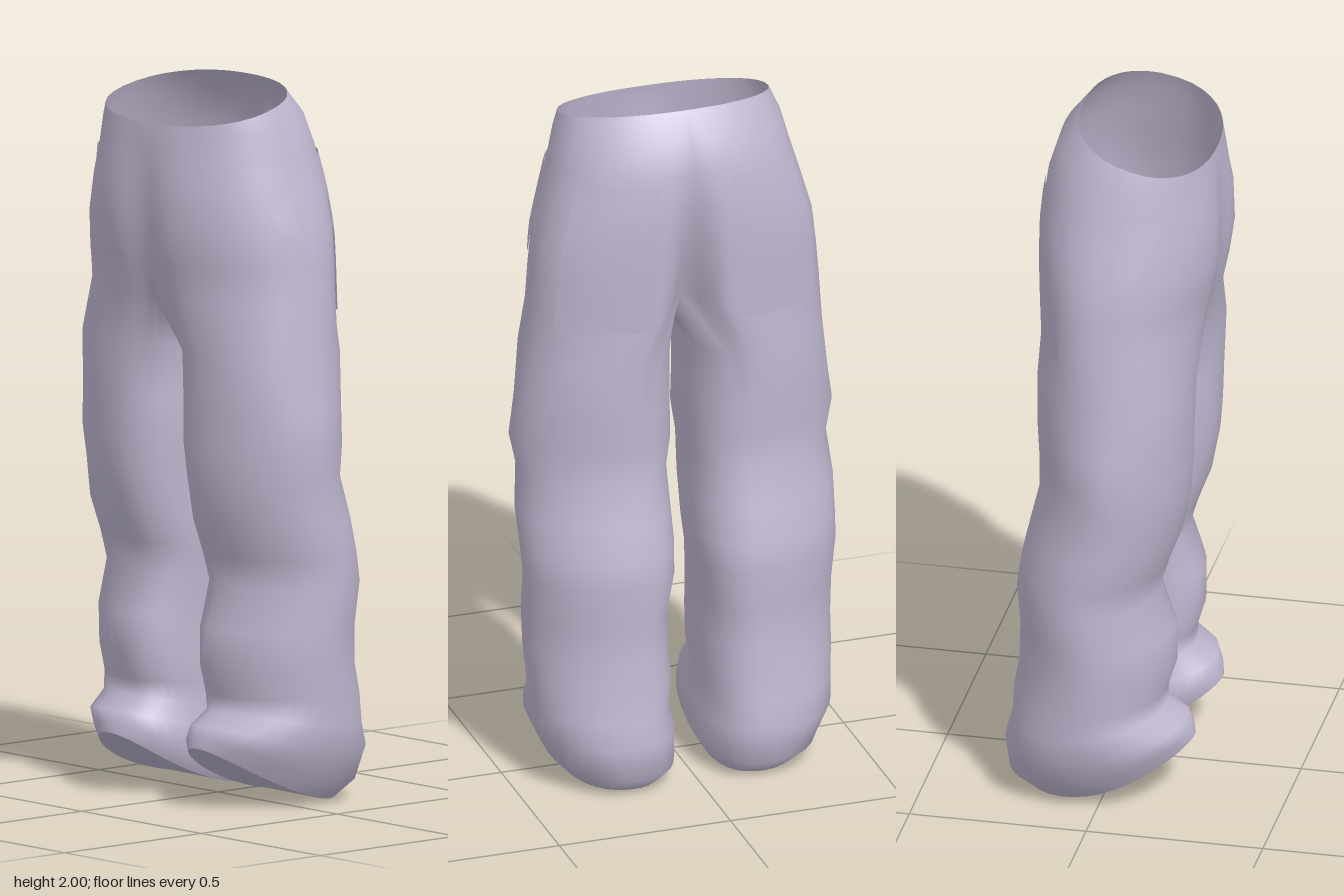
import * as THREE from 'three';
import { mergeVertices } from 'three/addons/utils/BufferGeometryUtils.js';

const OUT = 24, INN = 10; // segments on the outer and inner arc of a leg
const CREASE = 0.19;      // x of the front and back crease of a leg
const { lerp, degToRad } = THREE.MathUtils;
const spow = (v, p) => Math.sign(v) * Math.abs(v) ** p;

// Leg levels: back y, front y, inner x, outer x, front z, back z,
// squareness of the outer front and outer back corner (smaller is squarer)
const LEG = [
  [0.00, 0.17, 0.065, 0.35, 0.24, -0.22, 1.1, 1.0],
  [0.05, 0.20, 0.035, 0.39, 0.235, -0.278, 1.0, 0.95],
  [0.15, 0.23, 0.038, 0.43, 0.22, -0.287, 0.94, 0.86],
  [0.22, 0.27, 0.055, 0.43, 0.163, -0.267, 0.97, 0.9],
  [0.31, 0.31, 0.045, 0.437, 0.163, -0.263, 1.04, 1.0],
  [0.39, 0.39, 0.05, 0.442, 0.187, -0.25, 1.1, 1.05],
  [0.50, 0.50, 0.052, 0.446, 0.187, -0.247, 1.1, 1.05],
  [0.62, 0.62, 0.035, 0.45, 0.142, -0.256, 1.03, 1.05],
  [0.70, 0.70, 0.03, 0.453, 0.165, -0.245, 1.03, 1.05],
  [0.80, 0.80, 0.032, 0.457, 0.203, -0.222, 1.03, 1.05],
  [0.92, 0.92, 0.036, 0.446, 0.226, -0.193, 1.06, 1.08],
  [1.01, 1.01, 0.022, 0.466, 0.232, -0.193, 1.08, 1.12],
  [1.12, 1.12, 0.026, 0.45, 0.235, -0.2, 1.02, 1.12],
  [1.27, 1.27, 0.026, 0.433, 0.24, -0.2, 0.92, 1.06],
];
// Hip levels: back y, front y, outer x, front z, back z, side z, front dip, back dip
const HIP = [
  [1.42, 1.42, 0.418, 0.258, -0.207, 0.00, 0.022, 0.14],
  [1.52, 1.52, 0.409, 0.28, -0.212, 0.00, 0.022, 0.10],
  [1.62, 1.62, 0.397, 0.296, -0.215, 0.00, 0.024, 0.065],
  [1.73, 1.73, 0.367, 0.294, -0.215, 0.015, 0.018, 0.035],
  [1.84, 1.81, 0.34, 0.28, -0.2, 0.04, 0.008, 0.008],
  [1.93, 1.87, 0.322, 0.27, -0.17, 0.06, 0, 0],
  [2.00, 1.905, 0.30, 0.264, -0.115, 0.085, 0, 0],
];

function legPoint([yb, yf, xi, xo, zf, zb, pf, pb], deg) {
  const a = degToRad(deg), s = Math.sin(a), c = Math.cos(a);
  const p = s < 0 ? 0.82 : lerp(pb, pf, (c + 1) / 2);
  const x = CREASE + (s > 0 ? xo - CREASE : CREASE - xi) * spow(s, p);
  const z = (zf + zb) / 2 + (zf - zb) / 2 * spow(c, p);
  const t = (z - zb) / (zf - zb);
  return [x, lerp(yb, yf, t * t), z];
}

function hipPoint([yb, yf, xo, zf, zb, zm, df, db], deg) {
  const a = degToRad(deg), c = Math.cos(a), s = Math.sin(a);
  const x = s < 1e-6 ? 0 : xo * s ** 0.88;
  const z = c > 0 ? zm + (zf - zm) * c ** 0.92 - df * c * Math.exp(-((x / 0.07) ** 2))
                  : zm + (zb - zm) * (-c) ** 0.92 - db * c * Math.exp(-((x / 0.05) ** 2));
  const t = THREE.MathUtils.clamp((z - zb) / (zf - zb), 0, 1);
  return [x, lerp(yb, yf, t), z];
}

// Point on the hips at a free height, pushed slightly outwards
function hipAt(y, deg, push) {
  let i = 0;
  while (i < HIP.length - 2 && HIP[i + 1][0] < y) i++;
  const t = (y - HIP[i][0]) / (HIP[i + 1][0] - HIP[i][0]);
  const p = hipPoint(HIP[i].map((v, k) => lerp(v, HIP[i + 1][k], t)), deg);
  const a = degToRad(deg);
  return [p[0] + push * Math.sin(a), p[1], p[2] + push * Math.cos(a)];
}

// Triangles between successive rings of n points
function skin(rings, closed, offset = 0) {
  const n = rings[0].length, idx = [];
  for (let r = 0; r < rings.length - 1; r++) {
    for (let i = 0; i < (closed ? n : n - 1); i++) {
      const a = offset + r * n + i, b = offset + r * n + (i + 1) % n;
      idx.push(a, b, b + n, a, b + n, a + n);
    }
  }
  return idx;
}

// Reflects points and triangles to the other side
const flip = points => points.map(([x, y, z]) => [-x, y, z]);
const turn = idx => idx.map((_, i) => idx[i % 3 === 0 ? i + 1 : i % 3 === 1 ? i - 1 : i]);

function build(points, idx) {
  const g = new THREE.BufferGeometry();
  g.setAttribute('position', new THREE.Float32BufferAttribute(points.flat(), 3));
  g.setIndex(idx);
  const m = mergeVertices(g, 1e-5);
  m.computeVertexNormals();
  return m;
}

export function createModel() {
  const group = new THREE.Group();
  const cloth = new THREE.MeshStandardMaterial({ color: 0xc0b7d0, side: THREE.DoubleSide });
  cloth.name = 'lavender cloth';
  const add = (name, points, idx) => {
    const m = new THREE.Mesh(build(points, idx), cloth);
    m.name = name;
    group.add(m);
  };

  // Half hip rings, with points gathered near the centre seams
  const hipRings = HIP.map(l => Array.from({ length: OUT + 1 }, (_, i) => {
    const u = i / OUT;
    return hipPoint(l, 180 * (u - 0.55 * Math.sin(2 * Math.PI * u) / (2 * Math.PI)));
  }));

  // Leg rings: outer arc runs front to back, inner arc returns to the front
  const legRings = LEG.map(l => {
    const ring = [];
    for (let i = 0; i <= OUT; i++) ring.push(legPoint(l, -40 + 260 * i / OUT));
    for (let i = 1; i < INN; i++) ring.push(legPoint(l, 220 + 100 * i / INN));
    return ring;
  });

  // Top ring of the leg: hip edge outside, crotch seam inside
  const top = [...hipRings[0]];
  const seam = new THREE.CatmullRomCurve3([
    top[OUT], [0, 1.335, 0], [0, 1.325, 0.06], [0, 1.375, 0.13], top[0],
  ].map(p => new THREE.Vector3(...p)));
  for (let i = 1; i < INN; i++) {
    const p = seam.getPoint(i / INN);
    top.push([0, p.y, p.z]);
  }
  legRings.push(top);

  // Trousers: one smooth skin from both halves
  const half = [...legRings.flat(), ...hipRings.flat()];
  const halfIdx = [
    ...skin(legRings, true),
    ...skin(hipRings, false, legRings.flat().length),
  ];
  add('trousers', [...half, ...flip(half)],
    [...halfIdx, ...turn(halfIdx).map(i => i + half.length)]);

  const pair = (name, points, idx) => {
    add('left' + name, points, idx);
    add('right' + name, flip(points), turn(idx));
  };

  // Closed hem at the bottom of each leg
  const hem = legRings[0], n = hem.length;
  pair('HemCap', [...hem, [0.2, 0.04, 0.01]],
    hem.flatMap((_, i) => [n, (i + 1) % n, i]));

  // Slanted front pockets and flat back pockets lying on the hips
  const patch = (name, y0, y1, a0, a1, push) => {
    const rows = [];
    for (let r = 0; r <= 8; r++) {
      const t = r / 8, row = [];
      for (let i = 0; i <= 8; i++)
        row.push(hipAt(lerp(y0, y1, t), lerp(a0(t), a1, i / 8), push));
      rows.push(row);
    }
    pair(name, rows.flat(), skin(rows, false));
  };
  patch('FrontPocket', 1.56, 1.82, t => 78 - 22 * t, 82, 0.005);
  patch('BackPocket', 1.38, 1.82, () => 118, 166, 0.005);
  return group;
}
